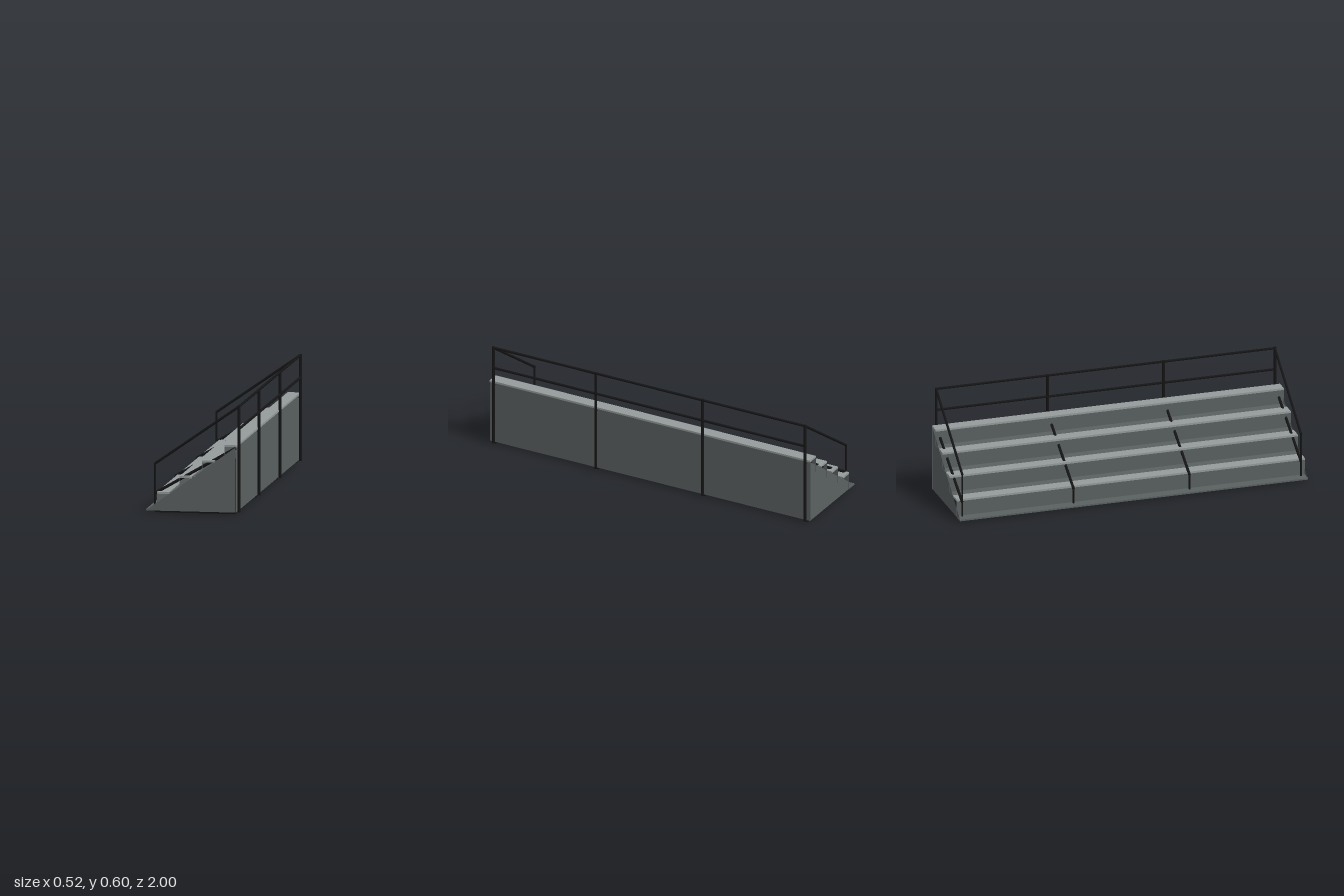
import * as THREE from 'three';

export function createModel() {
  const group = new THREE.Group();
  const seatGrey = new THREE.MeshStandardMaterial({ color: 0x959b9c });
  const panelGrey = new THREE.MeshStandardMaterial({ color: 0x5b6161, side: THREE.DoubleSide });
  const railBlack = new THREE.MeshStandardMaterial({ color: 0x151515 });
  seatGrey.name = 'seatGrey';
  panelGrey.name = 'panelGrey';
  railBlack.name = 'railBlack';

  function add(name, geometry, material, x = 0, y = 0, z = 0) {
    const mesh = new THREE.Mesh(geometry, material);
    mesh.name = name;
    mesh.position.set(x, y, z);
    group.add(mesh);
    return mesh;
  }

  // Box given by its x and y ranges, centred on z = 0
  function slab(name, x0, x1, y0, y1, length, material) {
    return add(name, new THREE.BoxGeometry(x1 - x0, y1 - y0, length), material, (x0 + x1) / 2, (y0 + y1) / 2, 0);
  }

  // Round bar between two points
  function bar(name, a, b, radius) {
    const from = new THREE.Vector3(...a);
    const to = new THREE.Vector3(...b);
    const dir = to.clone().sub(from);
    const mesh = add(name, new THREE.CylinderGeometry(radius, radius, dir.length(), 8), railBlack);
    mesh.position.copy(from).add(to).multiplyScalar(0.5);
    mesh.quaternion.setFromUnitVectors(new THREE.Vector3(0, 1, 0), dir.normalize());
  }

  // Vertical sheet running along z
  function sheet(name, x, y0, y1) {
    add(name, new THREE.PlaneGeometry(2, y1 - y0), panelGrey, x, (y0 + y1) / 2, 0).rotation.y = Math.PI / 2;
  }

  // Stepped rows: footboard, riser and seat board
  const rise = 0.09;
  const run = 0.125;
  for (let i = 0; i < 4; i++) {
    const front = -0.2 + i * run;
    const seatY = 0.105 + i * rise - (i === 3 ? 0.002 : 0);
    const footY = 0.011 + i * rise + (i > 0 ? 0.004 : 0);
    slab('footboard', front - (i ? 0.056 : 0.06), front, footY, footY + 0.009, 2, panelGrey);
    sheet('riser', front, footY, seatY);
    slab('seatBoard', front, front + 0.068, seatY, seatY + 0.011, 2, seatGrey);
  }

  // Tall back panel
  sheet('backPanel', 0.238, 0.011, 0.372);

  // Triangular end panels
  const outline = new THREE.Shape([
    [-0.26, 0.011], [0.236, 0.011], [0.236, 0.372], [-0.25, 0.021], [-0.26, 0.021],
  ].map(([x, y]) => new THREE.Vector2(x, y)));
  for (const side of [-1, 1]) {
    add('endPanel', new THREE.ShapeGeometry(outline), panelGrey, 0, 0, side * 0.998);
  }

  // Support frames, with handrails on the outer two
  for (const z of [-0.973, -0.333, 0.333, 0.973]) {
    const outer = Math.abs(z) > 0.5;
    bar('backPost', [0.25, 0.01, z], [0.25, 0.6, z], 0.008);
    bar('slopedBeam', [-0.215, 0.105, z], [0.236, 0.366, z], 0.008);
    slab('floorBeam', -0.213, 0.236, 0, 0.011, 0.016, railBlack).position.z = z;
    bar('frontPost', [-0.215, 0.005, z], [-0.215, outer ? 0.27 : 0.105, z], 0.005);
    if (outer) bar('slopedHandrail', [-0.217, 0.267, z], [0.25, 0.594, z], 0.007);
  }

  // Long guard rails along the back
  for (const y of [0.47, 0.594]) {
    bar('guardRail', [0.25, y, -0.977], [0.25, y, 0.977], 0.007);
  }

  return group;
}
